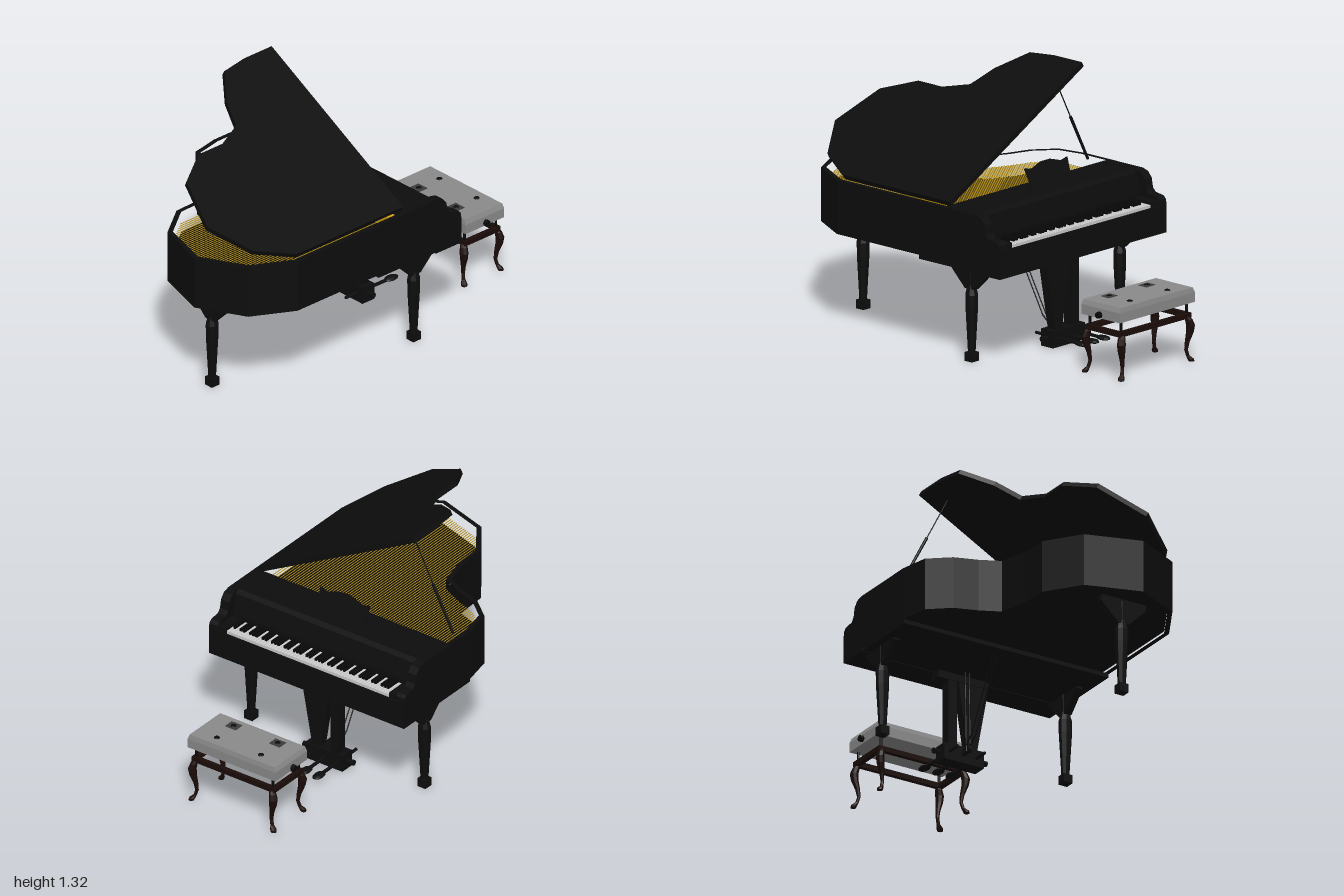
import * as THREE from 'three';

const mat = (color, extra = {}) => new THREE.MeshStandardMaterial({ color, flatShading: true, ...extra });
const black = mat(0x0d0d0d), gold = mat(0xd4a017), wire = mat(0xb8900f);
const ivory = mat(0xcccccc), ebony = mat(0x080808), wood = mat(0x1a0c08), fabric = mat(0x8a8a8a), stud = mat(0x3a3a3a);

export function createModel() {
  const root = new THREE.Group();

  const add = (name, geo, material = black, parent = root) => {
    const m = new THREE.Mesh(geo, material);
    m.name = name;
    parent.add(m);
    return m;
  };
  const group = (name) => {
    const g = new THREE.Group();
    g.name = name;
    root.add(g);
    return g;
  };
  // Box from its minimum and maximum corners
  const box = (name, [x0, y0, z0], [x1, y1, z1], material, parent) =>
    add(name, new THREE.BoxGeometry(x1 - x0, y1 - y0, z1 - z0)
      .translate((x0 + x1) / 2, (y0 + y1) / 2, (z0 + z1) / 2), material, parent);
  // Round bar between two points
  const rod = (name, a, b, r0, r1 = r0, material, parent) => {
    const A = new THREE.Vector3(...a), B = new THREE.Vector3(...b), d = B.clone().sub(A);
    const m = add(name, new THREE.CylinderGeometry(r1, r0, d.length(), 8), material, parent);
    m.position.copy(A).add(B).multiplyScalar(0.5);
    m.quaternion.setFromUnitVectors(new THREE.Vector3(0, 1, 0), d.normalize());
    return m;
  };
  const shapeOf = (pts) => new THREE.Shape(pts.map(([x, y]) => new THREE.Vector2(x, y)));
  const extrude = (shape, depth) => new THREE.ExtrudeGeometry(shape, { depth, bevelEnabled: false });
  // Plan outline [x, z] raised from y0 to y1
  const slab = (pts, y0, y1, hole) => {
    const s = shapeOf(pts.map(([x, z]) => [x, -z]));
    if (hole) s.holes.push(shapeOf(hole.map(([x, z]) => [x, -z])));
    return extrude(s, y1 - y0).rotateX(-Math.PI / 2).translate(0, y0, 0);
  };
  // Side profile [z, y] stretched from x0 to x1
  const sideways = (pts, x0, x1) =>
    extrude(shapeOf(pts.map(([z, y]) => [-z, y])), x1 - x0).rotateY(Math.PI / 2).translate(x0, 0, 0);
  // Outline moved inward by d
  const inset = (pts, d) => pts.map((p, i) => {
    const n = pts.length, a = pts[(i + n - 1) % n], b = pts[(i + 1) % n];
    const normal = (s, e) => {
      const l = Math.hypot(e[0] - s[0], e[1] - s[1]);
      return [-(e[1] - s[1]) / l, (e[0] - s[0]) / l];
    };
    const u = normal(a, p), v = normal(p, b), k = d / (1 + u[0] * v[0] + u[1] * v[1]);
    return [p[0] + (u[0] + v[0]) * k, p[1] + (u[1] + v[1]) * k];
  });

  // Case: curved rim and soundboard
  const outline = [[-0.6, -0.09], [0.6, -0.09], [0.6, 0.65], [0.48, 0.87], [0.23, 1], [-0.06, 0.91],
    [-0.19, 0.73], [-0.195, 0.58], [-0.235, 0.43], [-0.34, 0.38], [-0.46, 0.34], [-0.57, 0.25], [-0.6, 0.1]];
  const inner = inset(outline, 0.025);
  add('rim', slab(outline, 0.5, 0.775, inner));
  add('soundboard', slab(inner, 0.51, 0.66));
  box('underPlate', [-0.595, 0.478, -0.3], [0.595, 0.5, 0.1]);

  // Case front: curved arms, fallboard, key bed
  const arm = [[-0.09, 0.5], [-0.09, 0.775], [-0.29, 0.775], [-0.325, 0.765], [-0.35, 0.735], [-0.358, 0.69],
    [-0.375, 0.668], [-0.43, 0.66], [-0.445, 0.645], [-0.45, 0.62], [-0.45, 0.475], [-0.28, 0.475], [-0.28, 0.5]];
  add('rightArm', sideways(arm, -0.6, -0.55));
  add('leftArm', sideways(arm, 0.55, 0.6));
  add('fallboard', sideways([[-0.09, 0.5], [-0.09, 0.775], [-0.27, 0.775], [-0.295, 0.76], [-0.318, 0.66], [-0.318, 0.5]], -0.55, 0.55));
  box('keyBed', [-0.55, 0.475, -0.445], [0.55, 0.605, -0.3]);
  box('keySlip', [-0.55, 0.475, -0.45], [0.55, 0.618, -0.44]);
  for (const s of [-1, 1]) box('cheekBlock', [s * 0.525 - 0.025, 0.6, -0.44], [s * 0.525 + 0.025, 0.645, -0.31]);

  // Keyboard: 52 white keys, black keys in groups of two and three
  const keys = group('keyboard'), w = 1 / 52;
  for (let i = 0; i < 52; i++) {
    const x = 0.5 - i * w;
    box('whiteKey', [x - w + 0.001, 0.6, -0.437], [x - 0.001, 0.632, -0.315], ivory, keys);
    if (i < 51 && [0, 2, 3, 5, 6].includes(i % 7))
      box('blackKey', [x - w - 0.006, 0.625, -0.4], [x - w + 0.006, 0.645, -0.315], ebony, keys);
  }

  // Strings run from the pin block to the curved end of the rim
  box('pinBlock', [-0.55, 0.66, -0.09], [0.55, 0.725, -0.05], gold);
  const strings = group('strings');
  const curve = inner.slice(2);
  const endZ = (x) => {
    for (let i = 0; i < curve.length - 1; i++) {
      const [ax, az] = curve[i], [bx, bz] = curve[i + 1];
      if (x <= ax && x >= bx) return az + (bz - az) * (ax - x) / (ax - bx);
    }
    return 0.1;
  };
  for (let x = -0.545; x < 0.56; x += 0.015)
    box('string', [x - 0.0015, 0.715, -0.06], [x + 0.0015, 0.718, endZ(x)], wire, strings);

  // Open lid, hinged along the left side
  const lidEdge = [[0, -0.085], [1.085, -0.085], [1.085, 0.1], [1.065, 0.25], [0.91, 0.36], [0.77, 0.41], [0.71, 0.55],
    [0.71, 0.71], [0.6, 0.88], [0.33, 0.96], [0.11, 0.83], [0, 0.63]];
  const lid = add('lid', extrude(shapeOf(lidEdge), 0.027));
  lid.applyMatrix4(new THREE.Matrix4().makeBasis(new THREE.Vector3(-0.878, 0.479, 0),
    new THREE.Vector3(0, 0, 1), new THREE.Vector3(0.479, 0.878, 0)).setPosition(0.56, 0.776, 0));
  rod('lidPropLower', [-0.545, 0.77, 0.03], [-0.42, 1.01, 0.03], 0.007, 0.008);
  rod('lidPropUpper', [-0.42, 1.01, 0.03], [-0.3, 1.243, 0.03], 0.003);

  // Music desk leaning back on two struts
  const half = [[0.16, 0], [0.14, 0.035], [0.153, 0.133], [0.105, 0.123], [0.03, 0.146]];
  const desk = add('musicDesk', extrude(shapeOf([...half, ...half.map(([x, y]) => [-x, y]).reverse()]), 0.008));
  desk.position.set(-0.03, 0.772, -0.222);
  desk.rotation.x = 0.385;
  for (const x of [-0.11, 0.05]) {
    rod('deskStrut', [x, 0.82, -0.2], [x, 0.775, -0.155], 0.003);
    box('deskFoot', [x - 0.035, 0.772, -0.17], [x + 0.035, 0.779, -0.15]);
  }

  // Turned legs with flared brackets under the case
  const legProfile = [[0, 0.03], [0.02, 0.04], [0.021, 0.06], [0.033, 0.27], [0.034, 0.34], [0.024, 0.375],
    [0.021, 0.39], [0.023, 0.49], [0, 0.5]].map(([r, y]) => new THREE.Vector2(r, y));
  const bracket = [[-0.13, 0.5], [-0.13, 0.468], [-0.03, 0.37], [0.03, 0.37], [0.13, 0.468], [0.13, 0.5]];
  const leg = (name, x, z, turn) => {
    const g = group(name);
    add('turnedPost', new THREE.LatheGeometry(legProfile, 8).rotateY(Math.PI / 8), black, g);
    box('foot', [-0.025, 0, -0.025], [0.025, 0.045, 0.025], black, g);
    add('bracket', extrude(shapeOf(bracket), 0.036).translate(0, 0, -0.018), black, g);
    g.position.set(x, 0, z);
    g.rotation.y = turn;
  };
  leg('tailLeg', 0.198, 0.85, 0);
  leg('rightLeg', -0.535, -0.195, Math.PI / 2);
  leg('leftLeg', 0.53, -0.195, Math.PI / 2);

  // Pedal lyre
  const lyre = group('pedalLyre');
  box('lyreTop', [-0.165, 0.44, -0.325], [0.12, 0.478, -0.265], black, lyre);
  box('lyrePost', [-0.102, 0.07, -0.325], [-0.053, 0.46, -0.27], black, lyre);
  add('lyrePanel', extrude(shapeOf([[-0.05, 0.476], [0.015, 0.07], [0.06, 0.07], [0.135, 0.476]]), 0.05)
    .translate(0, 0, -0.32), black, lyre);
  box('pedalBox', [-0.135, 0, -0.335], [0.095, 0.088, -0.255], black, lyre);
  rod('pedalAxle', [-0.175, 0.047, -0.295], [0.135, 0.047, -0.295], 0.009, 0.009, black, lyre);
  for (const x of [-0.17, 0.125]) rod('axleKnob', [x - 0.008, 0.047, -0.295], [x + 0.008, 0.047, -0.295], 0.015, 0.015, black, lyre);
  for (const x of [-0.105, -0.025, 0.052]) {
    rod('pedalShaft', [x, 0.045, -0.18], [x, 0.043, -0.46], 0.008, 0.009, black, lyre);
    add('pedalPaddle', new THREE.SphereGeometry(1, 10, 8).scale(0.026, 0.012, 0.043), black, lyre).position.set(x, 0.044, -0.487);
  }
  for (const x of [-0.035, -0.012]) {
    rod('liftRod', [x, 0.045, -0.215], [x, 0.478, -0.225], 0.006, 0.004, black, lyre);
    rod('brace', [x, 0.478, 0.035], [x, 0.12, -0.165], 0.003, 0.003, black, lyre);
    rod('braceEnd', [x, 0.12, -0.165], [x, 0.04, -0.26], 0.004, 0.004, black, lyre);
  }

  // Bench: padded seat, frame, curved legs
  const bench = group('bench');
  bench.position.set(0.05, 0, -0.868);
  const seat = new THREE.BoxGeometry(0.54, 0.075, 0.26, 1, 3, 1);
  const sp = seat.attributes.position;
  for (let i = 0; i < sp.count; i++)
    if (sp.getY(i) > 0.03) sp.setXYZ(i, sp.getX(i) * 0.965, sp.getY(i), sp.getZ(i) * 0.96);
  add('seat', seat, fabric, bench).position.y = 0.339;
  for (const x of [-0.135, 0.135]) for (const z of [-0.07, 0.068]) {
    if (z > 0) box('tuft', [x - 0.033, 0.374, z - 0.028], [x + 0.033, 0.378, z + 0.028], stud, bench);
    add('seatButton', new THREE.SphereGeometry(0.016, 8, 6).scale(1, 0.4, 1), ebony, bench).position.set(x, 0.377, z);
  }
  for (const s of [-1, 1]) {
    rod('knobStem', [s * 0.265, 0.322, 0], [s * 0.28, 0.322, 0], 0.008, 0.008, ebony, bench);
    rod('knob', [s * 0.276, 0.322, 0], [s * 0.295, 0.322, 0], 0.018, 0.016, ebony, bench);
    box('longRail', [-0.255, 0.222, s * 0.108 - 0.012], [0.255, 0.248, s * 0.108 + 0.012], wood, bench);
    box('endRail', [s * 0.243 - 0.012, 0.222, -0.12], [s * 0.243 + 0.012, 0.248, 0.12], wood, bench);
  }
  // Rows of height, outward shift and radius
  const rows = [[0, 0.018, 0], [0.002, 0.018, 0.015], [0.014, 0.014, 0.016], [0.03, 0.002, 0.009], [0.06, -0.006, 0.009],
    [0.1, -0.001, 0.012], [0.15, 0.011, 0.019], [0.185, 0.014, 0.022], [0.215, 0.006, 0.019], [0.23, 0, 0.013]];
  for (const sx of [-1, 1]) for (const sz of [-1, 1]) {
    const g = new THREE.LatheGeometry(rows.map(([y, , r]) => new THREE.Vector2(r, y)), 8);
    const p = g.attributes.position;
    for (let i = 0; i < p.count; i++) {
      const d = rows[i % rows.length][1];
      p.setXYZ(i, p.getX(i) + sx * d, p.getY(i), p.getZ(i) + sz * d * 0.6);
    }
    g.computeVertexNormals();
    add('curvedLeg', g, wood, bench).position.set(sx * 0.235, 0, sz * 0.112);
    rod('seatPost', [sx * 0.235, 0.24, sz * 0.105], [sx * 0.235, 0.31, sz * 0.105], 0.007, 0.007, ebony, bench);
  }
  return root;
}
